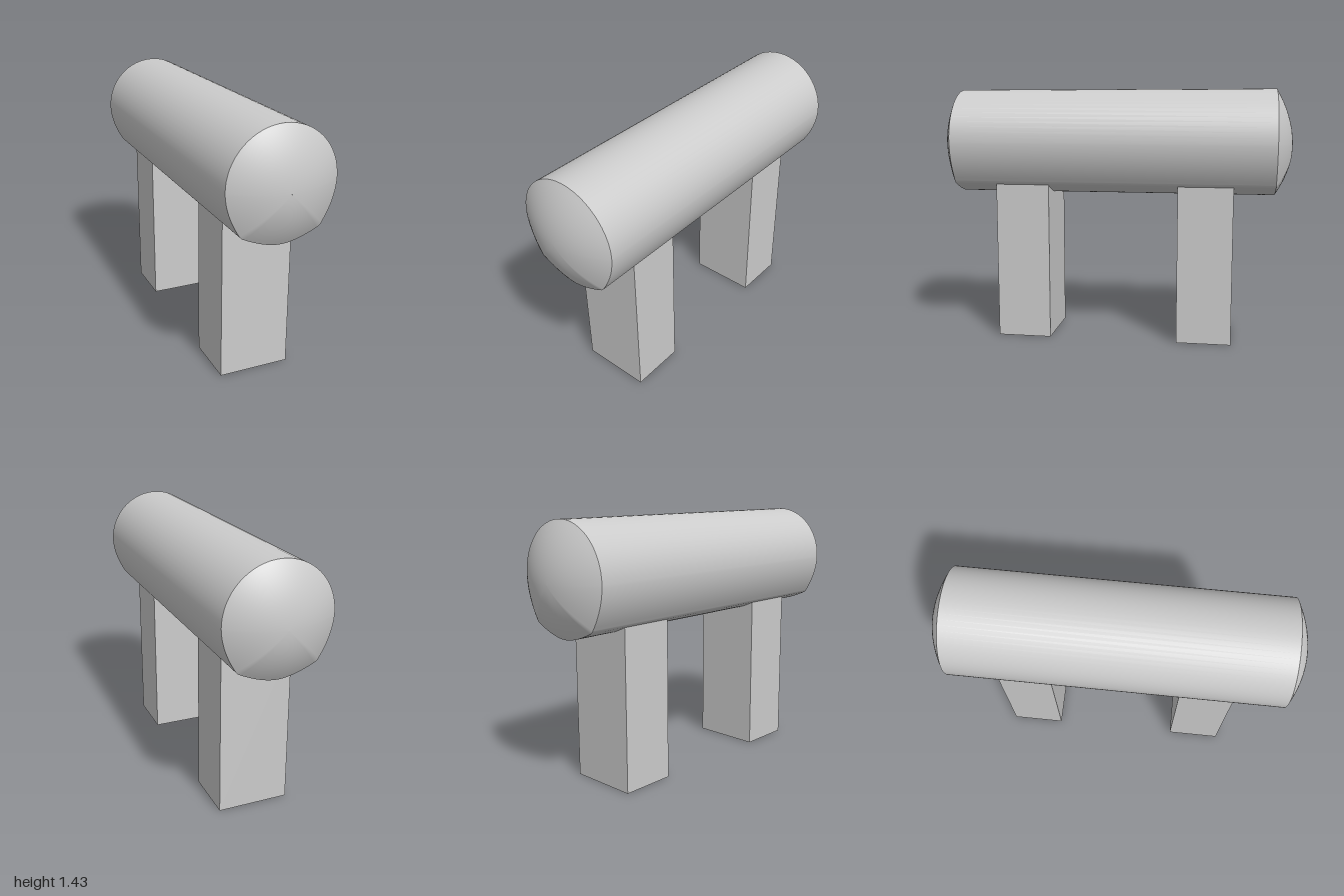
import * as THREE from 'three';

const CENTRE_Y = 1.12;

// Rounded cross-section with a shallow keel between two soft lower corners
function bodyProfile() {
  const s = new THREE.Shape();
  s.moveTo(0, 0.838);
  s.quadraticCurveTo(0.08, 0.838, 0.195, 0.893);
  s.quadraticCurveTo(0.213, 0.9, 0.222, 0.917);
  s.quadraticCurveTo(0.293, 1.03, 0.295, 1.14);
  s.absarc(0, 1.14, 0.295, 0, Math.PI, false);
  s.quadraticCurveTo(-0.293, 1.03, -0.222, 0.917);
  s.quadraticCurveTo(-0.213, 0.9, -0.195, 0.893);
  s.quadraticCurveTo(-0.08, 0.838, 0, 0.838);
  const points = s.getPoints(16);
  if (points[0].distanceTo(points[points.length - 1]) < 1e-6) points.pop();
  return points;
}

// Joins scaled copies of the profile; rings are [z, scale] with z increasing
function loft(profile, rings) {
  const n = profile.length, pos = [], index = [];
  rings.forEach(([z, k]) => profile.forEach((p) =>
    pos.push(p.x * k, CENTRE_Y + (p.y - CENTRE_Y) * k, z)));
  for (let r = 0; r < rings.length - 1; r++) {
    for (let i = 0; i < n; i++) {
      const a = r * n + i, b = r * n + (i + 1) % n;
      index.push(a, b, b + n, a, b + n, a + n);
    }
  }
  const g = new THREE.BufferGeometry();
  g.setAttribute('position', new THREE.Float32BufferAttribute(pos, 3));
  g.setIndex(index);
  g.computeVertexNormals();
  return g;
}

// Rings of a shallow dome from the rim to its tip
function domeRings(rim, tip) {
  const rings = [];
  for (let i = 0; i <= 14; i++) {
    const k = Math.max(1 - i / 14, 0.001);
    rings.push([rim + (tip - rim) * (1 - k * k), k]);
  }
  return rings;
}

export function createModel() {
  const model = new THREE.Group();
  model.name = 'beamOnLegs';
  const material = new THREE.MeshStandardMaterial({ color: 0xcccccc });
  const add = (name, geometry) => {
    const mesh = new THREE.Mesh(geometry, material);
    mesh.name = name;
    model.add(mesh);
    return mesh;
  };

  // Long body with a domed cap at each end
  const profile = bodyProfile();
  add('body', loft(profile, [[-0.905, 1], [0.912, 1]]));
  add('frontCap', loft(profile, domeRings(0.912, 1)));
  add('backCap', loft(profile, domeRings(-0.905, -1).reverse()));

  // Two block legs running up into the body
  for (const [name, z] of [['frontLeg', 0.518], ['backLeg', -0.525]]) {
    add(name, new THREE.BoxGeometry(0.394, 0.9, 0.308)).position.set(0, 0.45, z);
  }
  return model;
}
